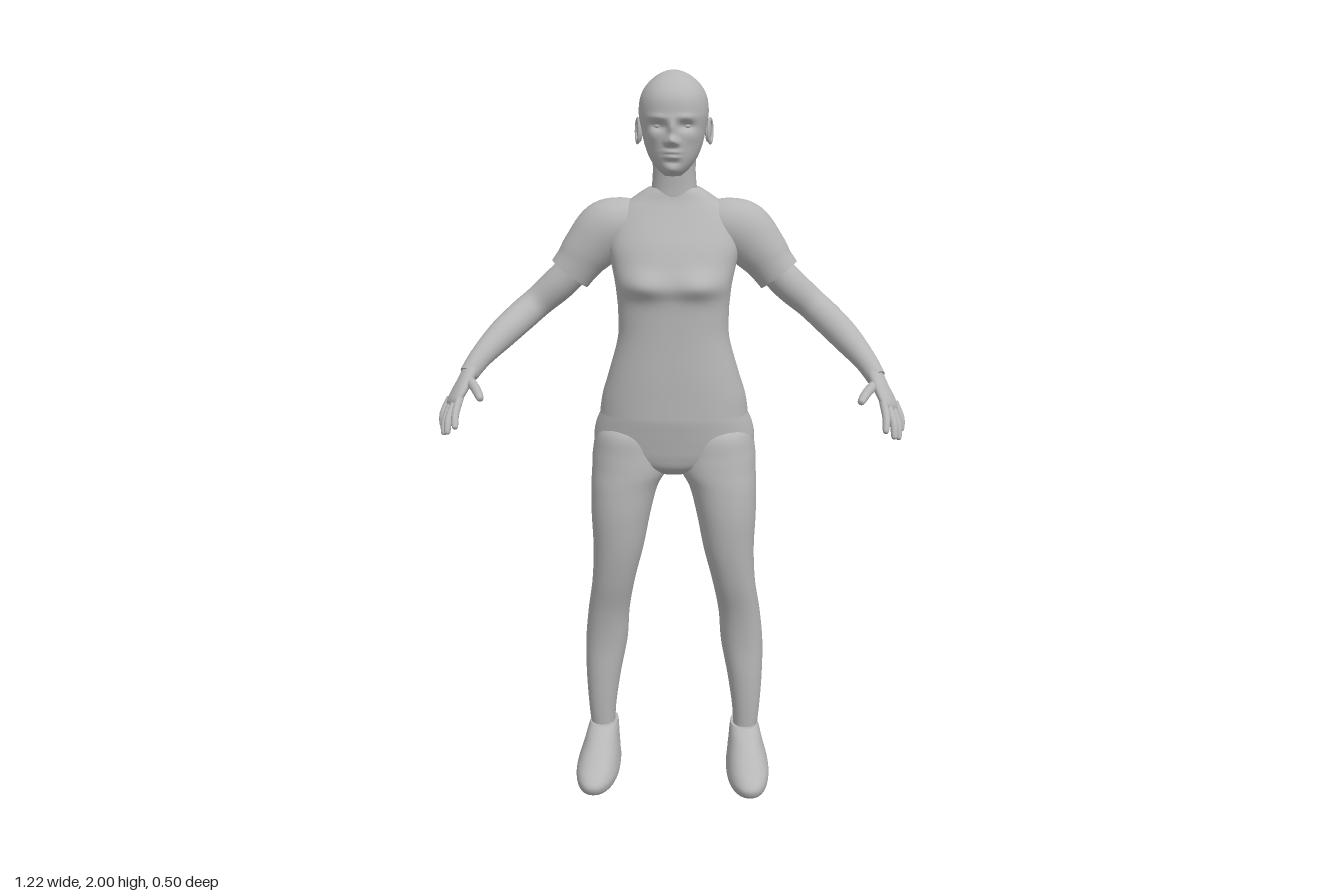
import * as THREE from 'three';

const grey = new THREE.MeshStandardMaterial({ color: 0xb6b6b6 });
grey.name = 'plain grey';

// Catmull-Rom resampling of rows of numbers
function smooth(rows, sub) {
  const out = [];
  const at = i => rows[Math.min(rows.length - 1, Math.max(0, i))];
  for (let i = 0; i < rows.length - 1; i++) {
    for (let k = 0; k < sub; k++) {
      const t = k / sub;
      out.push(at(i).map((b, c) => {
        const a = at(i - 1)[c], d = at(i + 1)[c], e = at(i + 2)[c];
        return b + 0.5 * t * (d - a + t * (2 * a - 5 * b + 4 * d - e + t * (3 * (b - d) + e - a)));
      }));
    }
  }
  out.push(rows[rows.length - 1]);
  return out;
}

// Closed skin over a list of rings, with crisp end caps
function skin(rings) {
  const n = rings[0].length, pos = [], idx = [];
  rings.forEach(r => r.forEach(p => pos.push(p.x, p.y, p.z)));
  for (let i = 0; i < rings.length - 1; i++) {
    for (let j = 0; j < n; j++) {
      const a = i * n + j, b = i * n + (j + 1) % n;
      idx.push(a, a + n, b + n, a, b + n, b);
    }
  }
  [rings[0], rings[rings.length - 1]].forEach((r, end) => {
    const base = pos.length / 3, c = new THREE.Vector3();
    r.forEach(p => { pos.push(p.x, p.y, p.z); c.addScaledVector(p, 1 / n); });
    pos.push(c.x, c.y, c.z);
    for (let j = 0; j < n; j++) {
      const a = base + j, b = base + (j + 1) % n;
      if (end) idx.push(a, base + n, b); else idx.push(a, b, base + n);
    }
  });
  const g = new THREE.BufferGeometry();
  g.setAttribute('position', new THREE.Float32BufferAttribute(pos, 3));
  g.setIndex(idx);
  g.computeVertexNormals();
  return g;
}

// Level sections, bottom to top: [y, x0, x1, zFront, zBack]; e squares the section
function stack(rows, { e = 2.2, seg = 48, sub = 6, bump } = {}) {
  const pw = v => Math.sign(v) * Math.abs(v) ** (2 / e);
  return skin(smooth(rows, sub).map(([y, x0, x1, zf, zb]) =>
    Array.from({ length: seg }, (_, j) => {
      const a = j / seg * Math.PI * 2;
      const p = new THREE.Vector3((x0 + x1) / 2 + (x1 - x0) / 2 * pw(Math.cos(a)), y,
        (zf + zb) / 2 + (zf - zb) / 2 * pw(Math.sin(a)));
      if (bump) bump(p, a, (zf + zb) / 2);
      return p;
    })));
}
const sym = rows => rows.map(([y, w, f, b]) => [y, -w, w, f, b]);

// Round limb along [x, y, z, wideRadius, thinRadius]
function limb(rows, wide = [0, 0, 1], seg = 24, sub = 6) {
  const s = smooth(rows, sub), V = r => new THREE.Vector3(r[0], r[1], r[2]);
  return skin(s.map((r, i) => {
    const T = V(s[Math.min(i + 1, s.length - 1)]).sub(V(s[Math.max(i - 1, 0)])).normalize();
    const u = new THREE.Vector3(...wide);
    u.addScaledVector(T, -u.dot(T)).normalize();
    const v = u.clone().cross(T);
    return Array.from({ length: seg }, (_, j) => {
      const a = j / seg * Math.PI * 2;
      return V(r).addScaledVector(u, r[3] * Math.cos(a)).addScaledVector(v, (r[4] ?? r[3]) * Math.sin(a));
    });
  }));
}

// Copy of a geometry reflected across x = 0
function mirrored(geo) {
  const g = geo.clone(), p = g.attributes.position, ix = g.index.array;
  for (let i = 0; i < p.count; i++) p.setX(i, -p.getX(i));
  for (let i = 0; i < ix.length; i += 3) [ix[i], ix[i + 1]] = [ix[i + 1], ix[i]];
  g.computeVertexNormals();
  return g;
}

const bell = (x, y, cx, cy, sx, sy) => Math.exp(-(((x - cx) / sx) ** 2) - ((y - cy) / sy) ** 2);

// Facial relief: height, x, y, width, height of each soft bump
const face = [
  [0.012, 0, 1.857, 0.010, 0.022], [0.024, 0, 1.826, 0.012, 0.012], [0.007, 0.013, 1.821, 0.007, 0.007],
  [-0.014, 0.036, 1.862, 0.019, 0.011], [0.005, 0.036, 1.884, 0.025, 0.008], [0.004, 0.055, 1.835, 0.02, 0.016],
  [0.008, 0, 1.798, 0.020, 0.005], [0.009, 0, 1.785, 0.017, 0.005], [-0.004, 0, 1.771, 0.02, 0.006],
  [0.005, 0, 1.752, 0.018, 0.010],
];

export function createModel() {
  const model = new THREE.Group();
  model.name = 'woman';
  const add = (name, geo) => {
    const m = new THREE.Mesh(geo, grey);
    m.name = name;
    model.add(m);
  };
  const pair = (name, geo) => {
    add('left' + name, geo);
    add('right' + name, mirrored(geo));
  };

  // Head with modelled face
  add('head', stack(sym([
    [1.735, 0.022, 0.03, -0.03], [1.75, 0.04, 0.045, -0.07], [1.775, 0.06, 0.053, -0.11],
    [1.81, 0.075, 0.057, -0.14], [1.85, 0.084, 0.06, -0.16], [1.89, 0.091, 0.063, -0.17],
    [1.93, 0.087, 0.058, -0.168], [1.96, 0.072, 0.038, -0.147], [1.985, 0.045, 0.004, -0.105],
    [1.997, 0.02, -0.025, -0.07], [2, 0.002, -0.045, -0.049]]), {
    seg: 128, sub: 10, bump: p => {
      if (p.z < -0.02) return;
      let dz = 0;
      for (const [h, x, y, sx, sy] of face) dz += h * bell(Math.abs(p.x), p.y, x, y, sx, sy);
      p.z += dz;
    },
  }));
  const eye = new THREE.SphereGeometry(1, 20, 14);
  eye.scale(0.014, 0.008, 0.012).translate(0.036, 1.862, 0.031);
  pair('Eye', eye);
  const ear = new THREE.SphereGeometry(1, 20, 14);
  ear.scale(0.007, 0.029, 0.016).rotateX(-0.15).rotateY(-0.3).translate(0.09, 1.845, -0.062);
  pair('Ear', ear);
  const rim = new THREE.TorusGeometry(0.017, 0.004, 8, 24);
  rim.scale(1, 1.7, 1).rotateY(Math.PI / 2 - 0.3).rotateX(-0.15).translate(0.095, 1.845, -0.064);
  pair('EarRim', rim);

  add('neck', stack(sym([
    [1.62, 0.075, -0.045, -0.15], [1.665, 0.066, -0.038, -0.15], [1.7, 0.06, -0.037, -0.144],
    [1.74, 0.057, -0.034, -0.14], [1.78, 0.058, -0.03, -0.143], [1.82, 0.058, -0.03, -0.14]])));

  // Ridged ponytail and its band
  add('ponytail', stack(sym([
    [1.575, 0.004, -0.195, -0.205], [1.62, 0.018, -0.19, -0.225], [1.68, 0.029, -0.185, -0.24],
    [1.75, 0.036, -0.178, -0.248], [1.82, 0.035, -0.174, -0.245], [1.88, 0.029, -0.166, -0.226],
    [1.92, 0.022, -0.155, -0.205], [1.945, 0.008, -0.15, -0.178]]), {
    e: 2, seg: 96, bump: (p, a, zc) => {
      const k = 1 + 0.07 * Math.cos(14 * a + p.y * 20);
      p.x *= k;
      p.z = zc + (p.z - zc) * k;
    },
  }));
  const band = new THREE.TorusGeometry(0.018, 0.007, 10, 28);
  band.rotateX(0.35).translate(0, 1.922, -0.168);
  add('hairBand', band);

  // Shirt body with soft bust and spine groove
  add('shirt', stack(sym([
    [1.09, 0.204, 0.06, -0.213], [1.14, 0.196, 0.06, -0.2], [1.2, 0.178, 0.06, -0.175],
    [1.3, 0.151, 0.058, -0.147], [1.37, 0.149, 0.058, -0.143], [1.41, 0.152, 0.06, -0.147],
    [1.45, 0.157, 0.067, -0.16], [1.5, 0.168, 0.05, -0.175], [1.55, 0.178, 0.028, -0.185],
    [1.6, 0.172, 0, -0.18], [1.64, 0.15, -0.022, -0.17], [1.665, 0.117, -0.034, -0.162],
    [1.685, 0.088, -0.04, -0.154], [1.697, 0.068, -0.044, -0.148]]), {
    e: 2.4, seg: 72, sub: 8, bump: p => {
      if (p.z > 0) p.z += 0.017 * bell(Math.abs(p.x), p.y, 0.075, 1.453, 0.055, 0.035);
      if (p.z < -0.1) p.z += 0.01 * bell(p.x, p.y, 0, 1.4, 0.03, 0.2);
    },
  }));
  pair('Sleeve', limb([
    [0.09, 1.6, -0.1, 0.06, 0.06], [0.14, 1.595, -0.098, 0.073, 0.075], [0.185, 1.577, -0.095, 0.074, 0.082],
    [0.235, 1.527, -0.09, 0.064, 0.07], [0.262, 1.492, -0.087, 0.056, 0.062], [0.283, 1.465, -0.085, 0.052, 0.06]], [0, 0, 1], 36));

  // Bare arms and hands
  pair('Arm', limb([
    [0.25, 1.5, -0.086, 0.044], [0.31, 1.44, -0.088, 0.046], [0.37, 1.388, -0.088, 0.042],
    [0.41, 1.355, -0.062, 0.042], [0.46, 1.312, 0, 0.039], [0.508, 1.263, 0.063, 0.03],
    [0.535, 1.225, 0.1, 0.025]], [0, 0, 1], 32));
  pair('Palm', limb([
    [0.528, 1.238, 0.088, 0.026, 0.022], [0.543, 1.21, 0.115, 0.031, 0.018], [0.558, 1.182, 0.138, 0.038, 0.016],
    [0.568, 1.162, 0.155, 0.036, 0.013], [0.572, 1.153, 0.162, 0.022, 0.006]], [0.035, -0.015, -0.055]));
  const fingers = {
    Index: [[0.548, 1.178, 0.165], [0.553, 1.145, 0.212], [0.55, 1.112, 0.243]],
    Middle: [[0.56, 1.168, 0.157], [0.573, 1.13, 0.2], [0.575, 1.092, 0.224]],
    Ring: [[0.572, 1.162, 0.143], [0.587, 1.12, 0.177], [0.589, 1.083, 0.196]],
    Little: [[0.582, 1.165, 0.125], [0.597, 1.13, 0.148], [0.599, 1.097, 0.16]],
    Thumb: [[0.535, 1.215, 0.112], [0.507, 1.2, 0.165], [0.486, 1.182, 0.21]],
  };
  for (const [name, [a, b, c]] of Object.entries(fingers)) {
    const nearTip = c.map((v, i) => v + (b[i] - v) * 0.15);
    const r = name === 'Thumb' ? 0.013 : 0.0105;
    pair(name + 'Finger', limb([[...a, r], [...b, r * 0.95], [...nearTip, r * 0.75], [...c, 0.002]], [1, 0, 0.3], 14, 5));
  }

  // Trousers: hips with a rear cleft, then legs
  add('hips', stack(sym([
    [0.922, 0.05, -0.005, -0.12], [0.945, 0.13, 0.025, -0.155], [0.975, 0.205, 0.036, -0.182],
    [1.01, 0.222, 0.042, -0.208], [1.05, 0.218, 0.048, -0.222], [1.09, 0.202, 0.053, -0.207],
    [1.13, 0.185, 0.05, -0.18]]), {
    seg: 72, bump: p => { if (p.z < -0.08) p.z += 0.028 * bell(p.x, p.y, 0, 0.98, 0.03, 0.07); },
  }));
  pair('Leg', stack([
    [0.12, 0.175, 0.242, -0.042, -0.125], [0.2, 0.17, 0.25, -0.035, -0.133], [0.3, 0.155, 0.256, -0.03, -0.148],
    [0.4, 0.136, 0.256, -0.027, -0.157], [0.5, 0.128, 0.246, -0.012, -0.148], [0.6, 0.11, 0.231, 0.016, -0.122],
    [0.7, 0.085, 0.226, 0.037, -0.132], [0.8, 0.065, 0.23, 0.048, -0.148], [0.88, 0.044, 0.23, 0.048, -0.16],
    [0.93, 0.016, 0.228, 0.045, -0.178], [0.98, 0.006, 0.226, 0.04, -0.203], [1.04, 0.012, 0.212, 0.03, -0.212],
    [1.08, 0.05, 0.17, -0.02, -0.17]]));

  // Shoes, heel slightly raised and toes turned out
  pair('Shoe', stack([
    [0, 0.175, 0.258, 0.11, -0.11], [0.012, 0.16, 0.272, 0.135, -0.14], [0.035, 0.155, 0.277, 0.145, -0.15],
    [0.055, 0.157, 0.276, 0.13, -0.15], [0.075, 0.16, 0.27, 0.095, -0.15], [0.1, 0.164, 0.262, 0.045, -0.148],
    [0.125, 0.167, 0.256, 0.005, -0.144], [0.145, 0.17, 0.25, -0.028, -0.138]], {
    bump: p => {
      p.y += 0.02 * Math.max(0, -p.z / 0.15) * (1 - p.y / 0.145);
      p.x += 0.05 * p.z;
    },
  }));
  return model;
}
